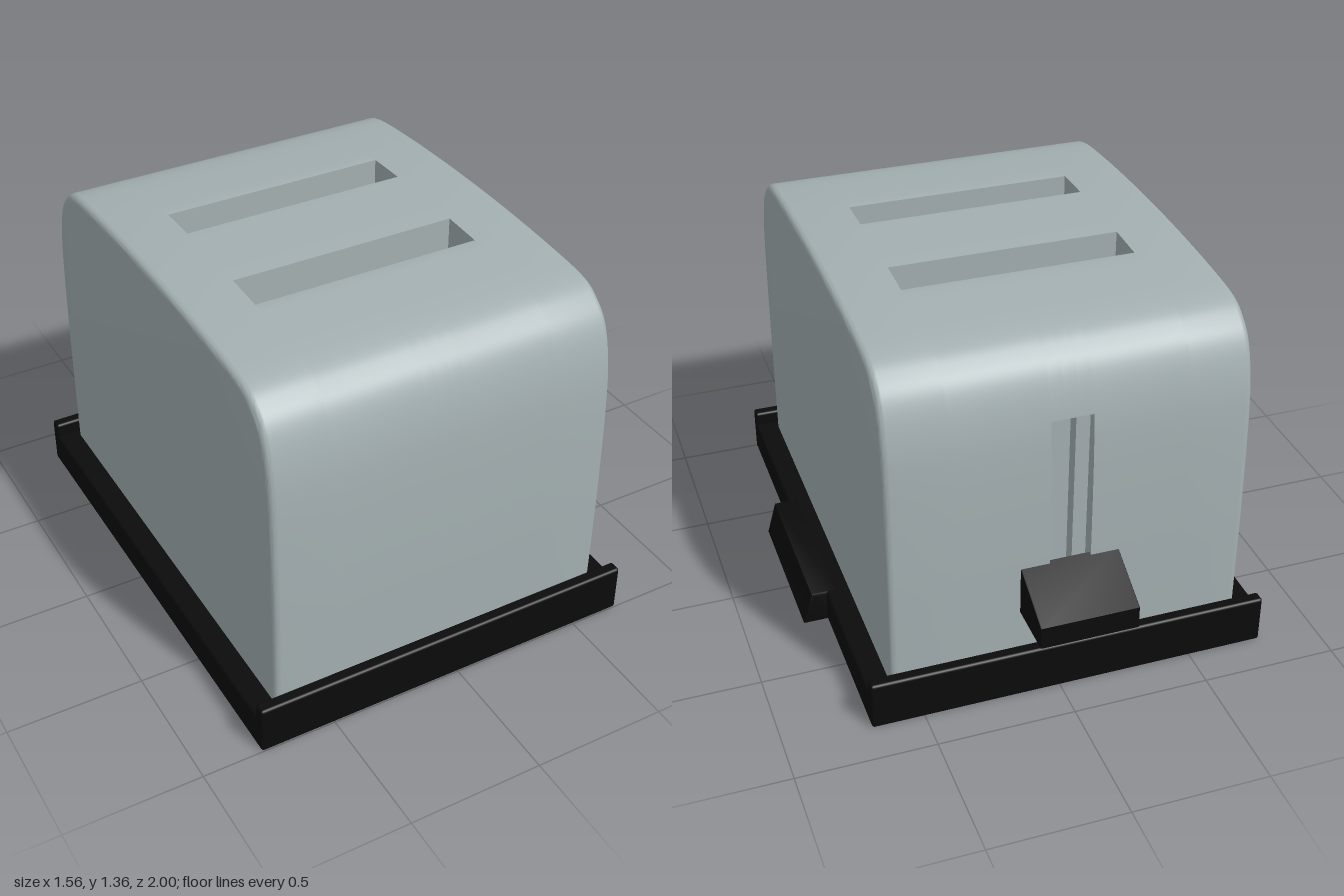
import * as THREE from 'three';
import { toCreasedNormals } from 'three/addons/utils/BufferGeometryUtils.js';
import { RoundedBoxGeometry } from 'three/addons/geometries/RoundedBoxGeometry.js';

const HALF_X = 0.65, SLOT_X = 0.4225, FLOOR = 0.11;
const SLOTS = [[0.335, 0.175], [-0.175, -0.335]];
const TRACK = [0.34, 1.07];

// Body outline: rounded loaf section, (x = toward the back, y = up)
const half = [[0.868, 0.1], [0.87, 0.35], [0.87, 0.6], [0.862, 0.92], [0.846, 1.09], [0.81, 1.215],
  [0.755, 1.283], [0.675, 1.325], [0.5, 1.344], [0.25, 1.356]];
const knots = [...half, [0, 1.36], ...half.map(([x, y]) => [-x, y]).reverse()];
const outline = new THREE.SplineCurve(knots.map(([x, y]) => new THREE.Vector2(x, y))).getPoints(120);

// Replace the stretch of the outline selected by a test with a notch
function notch(points, inside, corners) {
  const first = points.findIndex(inside);
  const kept = points.filter((p) => !inside(p));
  kept.splice(first, 0, ...corners.map(([x, y]) => new THREE.Vector2(x, y)));
  return kept;
}

function section(slots, trackDepth) {
  let pts = outline;
  if (slots) {
    for (const [a, b] of SLOTS) {
      const top = (x) => 1.36 - 0.065 * x * x;
      pts = notch(pts, (p) => p.y > 1.2 && p.x <= a && p.x >= b,
        [[a, top(a)], [a, FLOOR], [b, FLOOR], [b, top(b)]]);
    }
  }
  if (trackDepth) {
    const [lo, hi] = TRACK, inner = 0.86 - trackDepth;
    pts = notch(pts, (p) => p.x > 0 && p.y >= lo && p.y <= hi,
      [[0.87, lo], [inner, lo], [inner, hi], [0.849, hi]]);
  }
  return new THREE.Shape(pts);
}

// Extrude a section across the width, from x0 to x1
function across(shape, x0, x1) {
  const g = new THREE.ExtrudeGeometry(shape, { depth: x1 - x0, bevelEnabled: false });
  return toCreasedNormals(g.translate(0, 0, x0).rotateY(Math.PI / 2), 0.5);
}

// Full-section end of the body with a rounded outer edge
function endPiece() {
  const steps = 7, r = 0.025;
  const g = new THREE.ExtrudeGeometry(section(false, 0), { depth: 1, steps, bevelEnabled: false });
  const p = g.attributes.position;
  for (let i = 0; i < p.count; i++) {
    const k = Math.round(p.getZ(i) * steps);
    const a = Math.max(0, k - 1) / (steps - 1) * Math.PI / 2;
    const inset = r * (1 - Math.cos(a));
    p.setXYZ(i, p.getX(i) * (1 - inset / 0.87), p.getY(i) * (1 - inset / 1.36),
      k === 0 ? SLOT_X : HALF_X - r + r * Math.sin(a));
  }
  return toCreasedNormals(g.rotateY(Math.PI / 2), 0.5);
}

export function createModel() {
  const shell = new THREE.MeshStandardMaterial({ color: 0xa3afb1 });
  const black = new THREE.MeshStandardMaterial({ color: 0x0b0b0b });
  const model = new THREE.Group();
  model.name = 'toaster';
  model.position.set(-0.045, 0, 0.07);

  const add = (name, geometry, material, parent = model) => {
    const mesh = new THREE.Mesh(geometry, material);
    mesh.name = name;
    parent.add(mesh);
    return mesh;
  };
  const box = (name, w, h, d, x, y, z, r = 0.01) =>
    add(name, new RoundedBoxGeometry(w, h, d, 2, r), black).position.set(x, y, z);

  // Body: two solid ends, slotted slices between, lever track in the middle
  const body = new THREE.Group();
  body.name = 'body';
  model.add(body);
  const end = endPiece();
  add('bodyEndLeft', end, shell, body);
  add('bodyEndRight', end, shell, body).rotation.y = Math.PI;
  const slices = [[-SLOT_X, -0.075, 0], [-0.075, -0.025, 0.04], [-0.025, 0.025, 0.09],
    [0.025, 0.075, 0.04], [0.075, SLOT_X, 0]];
  for (const [x0, x1, depth] of slices) {
    add(depth ? 'leverTrack' : 'slottedBody', across(section(true, depth), x0, x1), shell, body);
  }

  // Base tray with raised lips at front and back
  box('base', 1.47, 0.13, 1.855, 0, 0.065, 0.0025);
  box('frontLip', 1.47, 0.185, 0.047, 0, 0.0925, 0.9065);
  box('backLip', 1.47, 0.185, 0.047, 0, 0.0925, -0.9015);

  // Crumb tray handle with a sloped face
  const handle = new THREE.Shape([[0.7, 0.004], [0.825, 0.004], [0.79, 0.13], [0.7, 0.13]]
    .map(([x, y]) => new THREE.Vector2(x, y)));
  const handleGeo = new THREE.ExtrudeGeometry(handle,
    { depth: 0.599, bevelSize: 0.008, bevelThickness: 0.008, bevelOffset: -0.008, bevelSegments: 2 });
  add('crumbTrayHandle', toCreasedNormals(handleGeo.translate(0, 0, -0.302), 0.5), black);

  // Wedge-shaped lever and its stem
  const lever = new THREE.Shape([[0.86, 0.32], [1.07, 0.32], [1.07, 0.405], [0.86, 0.515]]
    .map(([x, y]) => new THREE.Vector2(x, y)));
  const leverGeo = new THREE.ExtrudeGeometry(lever,
    { depth: 0.35, bevelSize: 0.005, bevelThickness: 0.005, bevelOffset: -0.005, bevelSegments: 2 });
  add('lever', toCreasedNormals(leverGeo.translate(0, 0, -0.175).rotateY(Math.PI / 2), 0.5), black);
  box('leverStem', 0.045, 0.08, 0.12, 0, 0.4, -0.83, 0.005);

  const root = new THREE.Group();
  root.name = 'model';
  root.add(model);
  return root;
}
